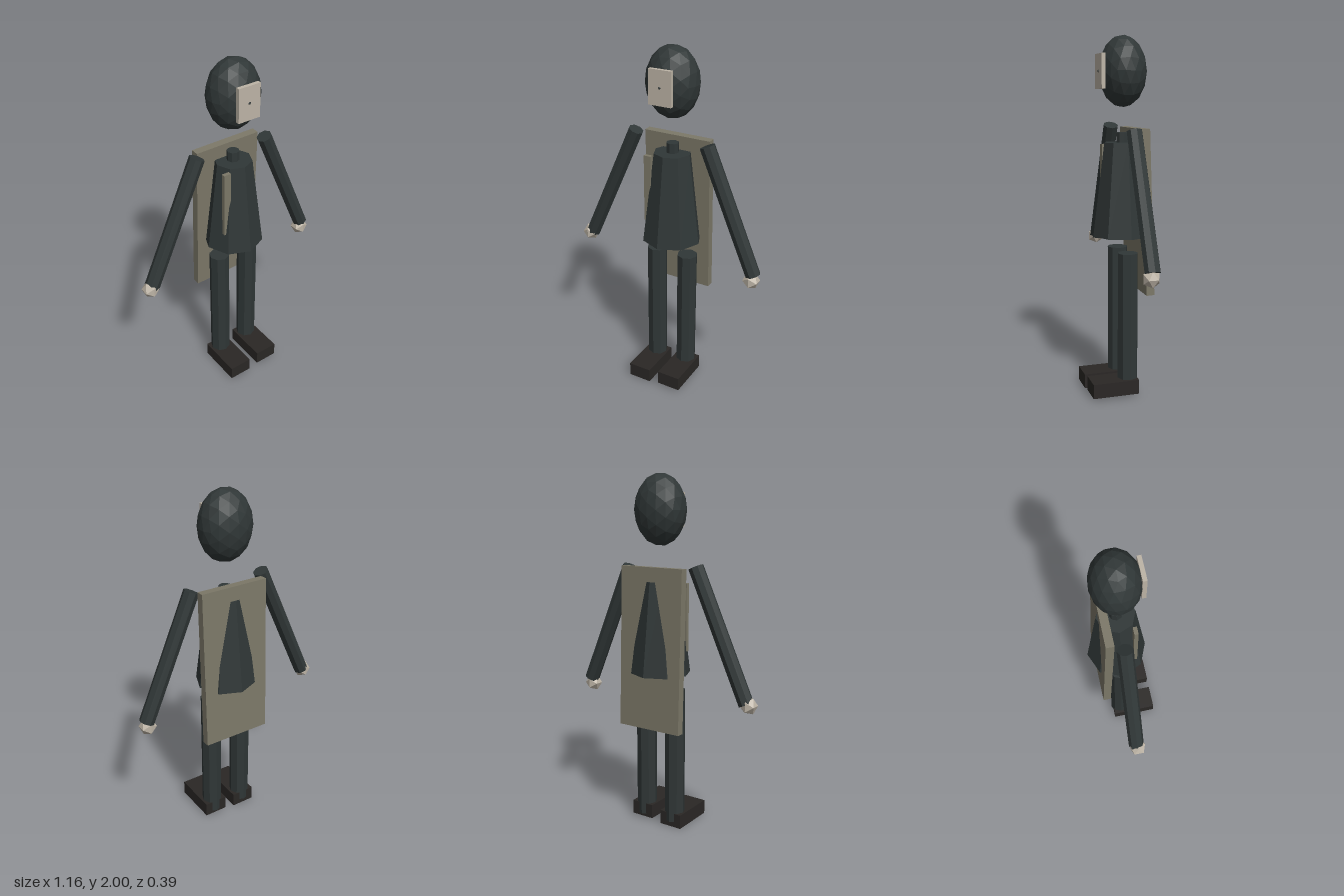
import * as THREE from 'three';

const paint = (color) => new THREE.MeshStandardMaterial({ color, flatShading: true });

export function createModel() {
  const group = new THREE.Group();
  const dark = paint(0x303737);
  const boot = paint(0x2a2725);
  const olive = paint(0x7c7868);
  const pale = paint(0xbdb4a6);
  const cx = 0.034, cz = -0.025; // body axis

  const add = (name, geometry, material, x, y, z) => {
    const mesh = new THREE.Mesh(geometry, material);
    mesh.name = name;
    mesh.position.set(x, y, z);
    group.add(mesh);
    return mesh;
  };
  const box = (w, h, d) => new THREE.BoxGeometry(w, h, d);

  // Head, face plate and nose
  const head = add('head', new THREE.IcosahedronGeometry(1, 2), dark, cx, 1.805, cz);
  head.scale.set(0.15, 0.195, 0.13);
  add('facePlate', box(0.133, 0.187, 0.022), pale, cx, 1.804, 0.101);
  add('nose', new THREE.IcosahedronGeometry(0.01, 0), dark, cx, 1.805, 0.108);

  // Neck and flared coat
  add('neck', new THREE.CylinderGeometry(0.035, 0.035, 0.14, 8), dark, cx, 1.405, cz);
  add('coat', new THREE.CylinderGeometry(0.105, 0.17, 0.52, 8), dark, cx, 1.16, cz);

  // Leaning cape board and chest strap
  const cape = add('cape', box(0.4, 0.91, 0.045), olive, cx, 1.045, -0.109);
  cape.rotation.x = 0.035;
  add('strap', box(0.043, 0.385, 0.022), olive, -0.07, 1.213, 0.058);

  // Arms run from shoulder to wrist, with a faceted hand at each end
  const arms = [
    { side: 'right', from: [-0.196, 1.507], to: [-0.518, 0.8], hand: [-0.53, 0.795] },
    { side: 'left', from: [0.243, 1.49], to: [0.544, 0.796], hand: [0.537, 0.766] },
  ];
  for (const { side, from, to, hand } of arms) {
    const dx = from[0] - to[0], dy = from[1] - to[1];
    const arm = add(side + 'Arm', new THREE.CylinderGeometry(0.043, 0.043, Math.hypot(dx, dy), 8),
      dark, (from[0] + to[0]) / 2, (from[1] + to[1]) / 2, cz);
    arm.rotation.z = -Math.atan2(dx, dy);
    add(side + 'Hand', new THREE.IcosahedronGeometry(0.05, 0), pale, hand[0], hand[1], -0.02);
  }

  // Legs and block boots; the left boot sits slightly higher
  const legs = [
    { side: 'right', x: -0.064, lift: 0 },
    { side: 'left', x: 0.134, lift: 0.014 },
  ];
  for (const { side, x, lift } of legs) {
    add(side + 'Leg', new THREE.CylinderGeometry(0.058, 0.058, 0.785, 8), dark, x, 0.423, cz);
    add(side + 'Boot', box(0.138, 0.082, 0.265), boot, x, 0.041 + lift, 0.06);
  }
  return group;
}
